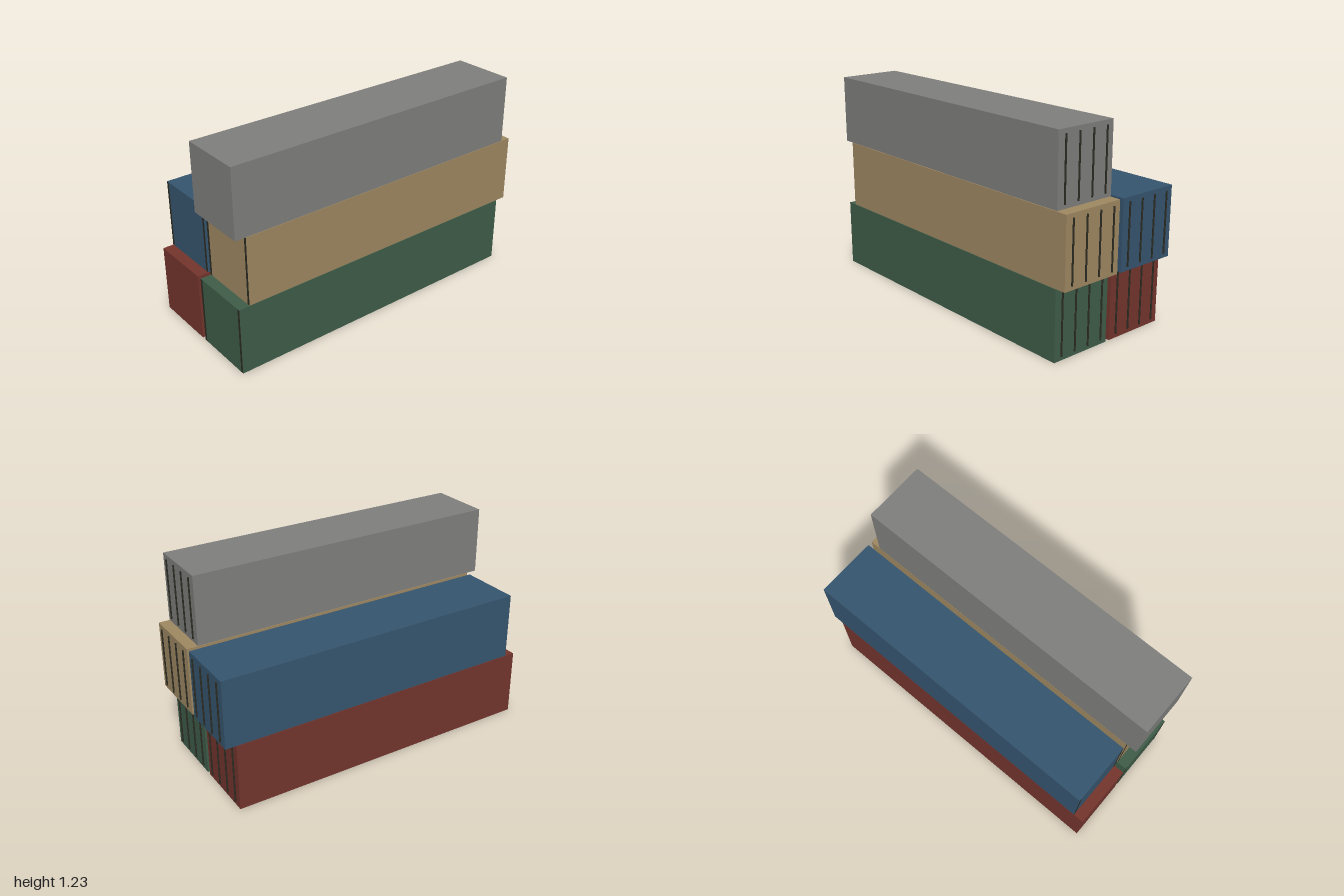
import * as THREE from 'three';

const W = 0.385, H = 0.409, L = 1.925, POST = 0.016;

function mat(name, color) {
  const m = new THREE.MeshStandardMaterial({ color, side: THREE.DoubleSide });
  m.name = name;
  return m;
}

// Box shell without its floor
function shellGeometry() {
  const g = new THREE.BoxGeometry(W, H, L);
  const index = Array.from(g.index.array);
  index.splice(18, 6);
  g.setIndex(index);
  g.clearGroups();
  return g;
}

export function createModel() {
  const red = mat('red paint', 0x74352d);
  const blue = mat('blue paint', 0x36556f);
  const green = mat('green paint', 0x3f5d49);
  const tan = mat('tan paint', 0x9f8862);
  const grey = mat('grey paint', 0x7f7f7d);
  const dark = mat('dark steel', 0x2c2c23);
  const darkGreen = mat('dark green lining', 0x2e3c2e);

  const shell = shellGeometry();
  const post = new THREE.BoxGeometry(POST, H - 0.004, POST);
  const rod = new THREE.CylinderGeometry(0.005, 0.005, 0.36, 8);
  const lining = new THREE.BoxGeometry(0.004, H - 0.01, L - 0.04);

  const model = new THREE.Group();
  model.name = 'containerStack';

  function add(parent, name, geometry, material, x, y, z) {
    const mesh = new THREE.Mesh(geometry, material);
    mesh.name = name;
    mesh.position.set(x, y, z);
    parent.add(mesh);
  }

  function container(name, paint, x, level, frontZ, postsShow, inner) {
    const c = new THREE.Group();
    c.name = name;
    c.position.set(x, level * 0.4115 + H / 2, frontZ - L / 2);
    add(c, 'body', shell, paint, 0, 0, 0);
    // Corner posts, standing just proud of the front wall where exposed
    for (const s of [-1, 1]) {
      const px = s * (W / 2 - POST / 2 - 0.0008);
      add(c, 'frontPost', post, dark, px, 0, L / 2 - POST / 2 + (postsShow ? 0.001 : -0.001));
      add(c, 'rearPost', post, dark, px, 0, -L / 2 + POST / 2 + 0.001);
    }
    // Door locking rods at the rear
    for (let i = 0; i < 4; i++) {
      add(c, 'doorRod', rod, dark, (i - 1.5) * 0.097, 0, -L / 2 - 0.005);
    }
    if (inner) add(c, 'innerWall', lining, inner, -W / 2 + 0.004, 0, 0);
    model.add(c);
  }

  const xl = 0.2045, xr = -0.2075;
  container('redContainer', red, xr, 0, 1, false);
  container('blueContainer', blue, xr, 1, 0.935, true);
  container('greenContainer', green, xl, 0, 0.999, true, darkGreen);
  container('tanContainer', tan, xl, 1, 0.935, true, grey);
  container('greyContainer', grey, xl, 2, 1, false);
  return model;
}
